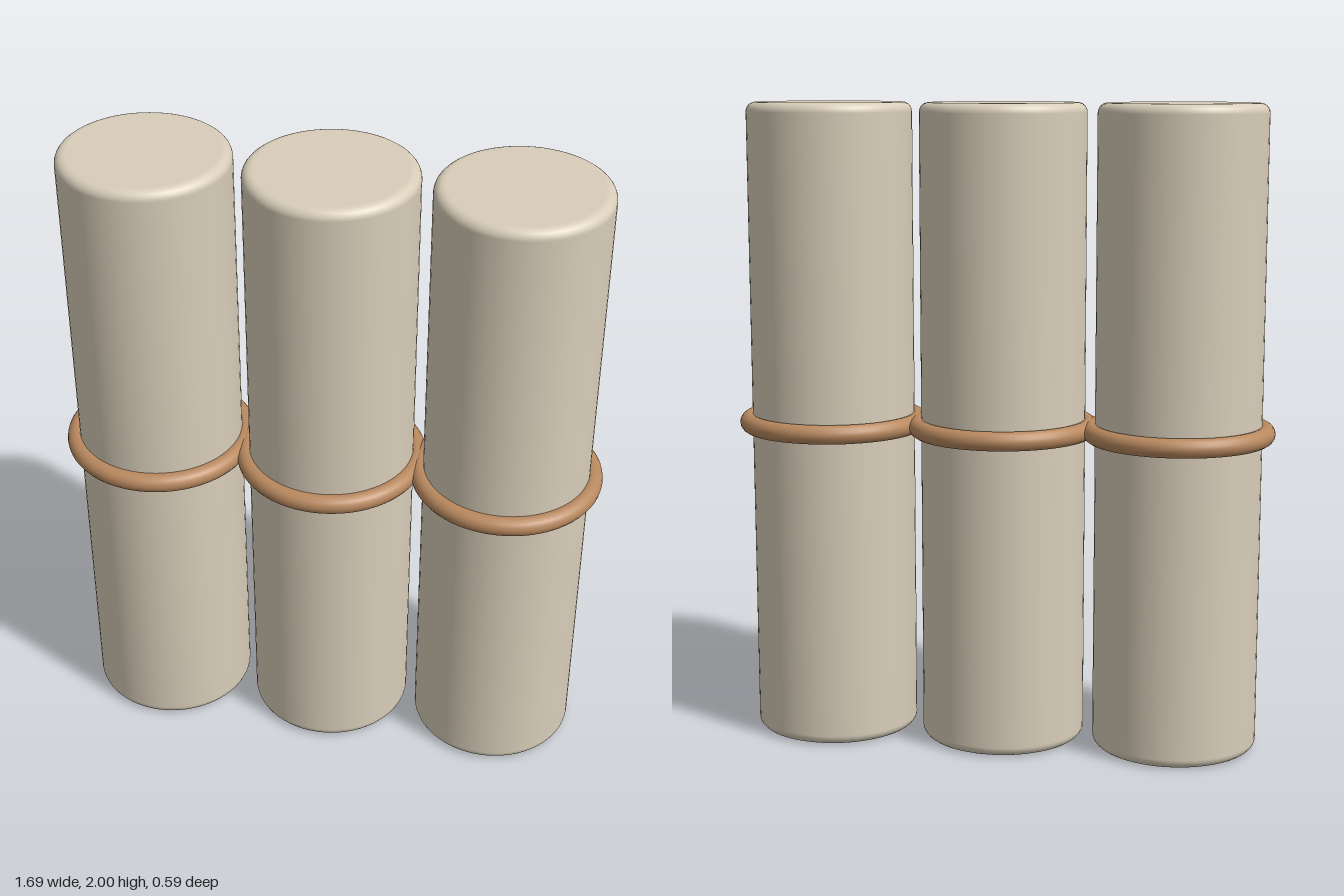
import * as THREE from 'three';

const HEIGHT = 2, RADIUS = 0.257, FILLET = 0.03, SPACING = 0.55;

// Half profile of a post, from the bottom centre to the top centre, with rounded rims
function postProfile() {
  const points = [new THREE.Vector2(0, 0), new THREE.Vector2(RADIUS - FILLET - 0.004, 0)];
  const addRim = (centreY, startAngle) => {
    for (let i = 0; i <= 6; i++) {
      const a = startAngle + (i / 6) * Math.PI / 2;
      points.push(new THREE.Vector2(RADIUS - FILLET + FILLET * Math.cos(a), centreY + FILLET * Math.sin(a)));
    }
  };
  addRim(FILLET, -Math.PI / 2);
  addRim(HEIGHT - FILLET, 0);
  points.push(new THREE.Vector2(RADIUS - FILLET - 0.004, HEIGHT), new THREE.Vector2(0, HEIGHT));
  return points;
}

export function createModel() {
  const model = new THREE.Group();
  model.name = 'boundPosts';

  const postMaterial = new THREE.MeshStandardMaterial({ color: 0xd8cdb9 });
  const ringMaterial = new THREE.MeshStandardMaterial({ color: 0xb9895f });
  const postGeometry = new THREE.LatheGeometry(postProfile(), 64);
  const ringGeometry = new THREE.TorusGeometry(0.267, 0.03, 16, 64).rotateX(Math.PI / 2);

  // Three posts in a row, each with a ring round its middle
  ['right', 'middle', 'left'].forEach((side, i) => {
    const x = (i - 1) * SPACING;
    const post = new THREE.Mesh(postGeometry, postMaterial);
    post.name = `${side}Post`;
    post.position.x = x;

    const ring = new THREE.Mesh(ringGeometry, ringMaterial);
    ring.name = `${side}Ring`;
    ring.position.set(x, HEIGHT / 2, 0);

    model.add(post, ring);
  });

  return model;
}
